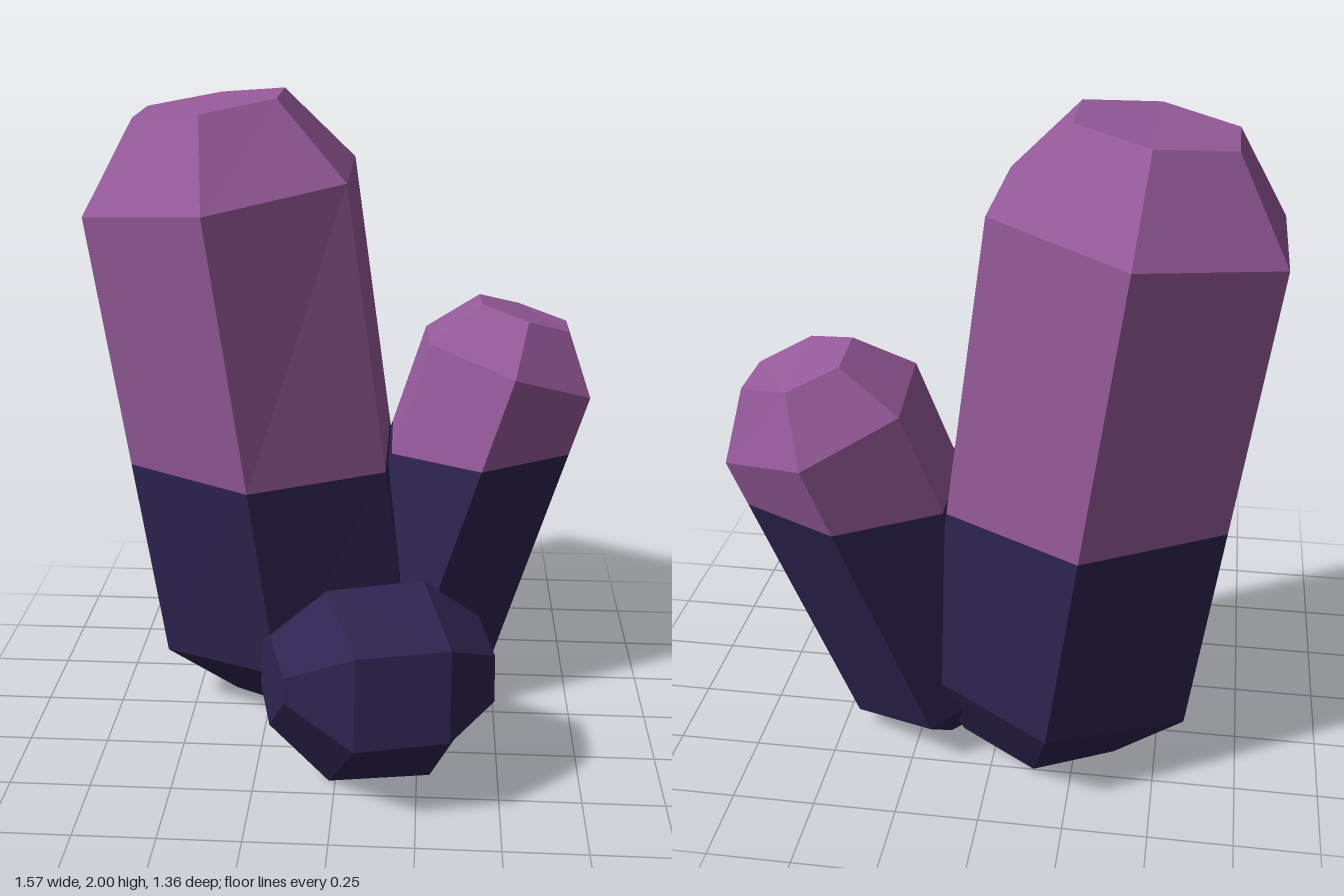
import * as THREE from 'three';

const crystalPink = new THREE.MeshStandardMaterial({ color: 0x965a9a });
crystalPink.name = 'crystalPink';
const crystalNavy = new THREE.MeshStandardMaterial({ color: 0x2f2450 });
crystalNavy.name = 'crystalNavy';
const SPLIT = 0.865; // height where the colour changes

// Faceted skin through six-sided rings, each listed clockwise seen from the tip
function loft(rings, capStart, capEnd) {
  const pos = [];
  const tri = (...pts) => pts.forEach((p) => pos.push(...p));
  for (let r = 0; r < rings.length - 1; r++) {
    const a = rings[r], b = rings[r + 1];
    for (let i = 0; i < 6; i++) {
      const j = (i + 1) % 6;
      tri(a[j], a[i], b[i]);
      tri(a[j], b[i], b[j]);
    }
  }
  const s = rings[0], e = rings[rings.length - 1];
  for (let i = 1; i < 5; i++) {
    if (capStart) tri(s[0], s[i], s[i + 1]);
    if (capEnd) tri(e[0], e[i + 1], e[i]);
  }
  const g = new THREE.BufferGeometry();
  g.setAttribute('position', new THREE.Float32BufferAttribute(pos, 3));
  g.computeVertexNormals(); // unshared corners give flat facets
  return g;
}

function addMesh(group, name, geometry, material) {
  const m = new THREE.Mesh(geometry, material);
  m.name = name;
  group.add(m);
}

// Level ring where the prism edges cross the colour split
function waist(low, high) {
  return low.map((a, i) => {
    const b = high[i], t = (SPLIT - a[1]) / (b[1] - a[1]);
    return a.map((v, k) => v + (b[k] - v) * t);
  });
}

// Ring shrunk about its centre, moved, and kept above the ground
function foot(ring, scale, centre) {
  const mid = [0, 1, 2].map((k) => ring.reduce((s, p) => s + p[k], 0) / 6);
  return ring.map((p) => {
    const q = p.map((v, k) => centre[k] + (v - mid[k]) * scale);
    return [q[0], Math.max(0, q[1]), q[2]];
  });
}

function twoToneCrystal(name, base, low, high, tip) {
  const group = new THREE.Group();
  group.name = name;
  const mid = waist(low, high);
  addMesh(group, name + 'Base', loft([base, low, mid], true, false), crystalNavy);
  addMesh(group, name + 'Tip', loft([mid, high, tip], false, true), crystalPink);
  return group;
}

export function createModel() {
  const model = new THREE.Group();
  model.name = 'crystalCluster';

  // Tall crystal, leaning to -x
  const tallLow = [[-0.19, 0.25, -0.68], [0.21, 0.29, -0.455], [0.21, 0.29, 0.03],
    [-0.2, 0.24, 0.215], [-0.585, 0.2, 0], [-0.585, 0.2, -0.455]];
  const tallHigh = [[-0.39, 1.715, -0.68], [0.01, 1.77, -0.455], [0.01, 1.77, 0.005],
    [-0.39, 1.715, 0.24], [-0.785, 1.66, 0.005], [-0.785, 1.66, -0.455]];
  const tallTip = [[-0.42, 1.97, -0.47], [-0.205, 2, -0.35], [-0.205, 2, -0.1],
    [-0.42, 1.97, 0.03], [-0.64, 1.94, -0.1], [-0.64, 1.94, -0.35]];
  model.add(twoToneCrystal('tallCrystal', foot(tallLow, 0.6, [-0.135, 0.01, -0.24]),
    tallLow, tallHigh, tallTip));

  // Middle crystal, leaning to +x and back
  const midHigh = [[0.5, 1.08, -0.66], [0.765, 1.01, -0.505], [0.78, 1.05, -0.195],
    [0.53, 1.155, -0.04], [0.265, 1.22, -0.195], [0.25, 1.19, -0.505]];
  const midLow = midHigh.map(([x, y, z]) => [x - 0.315, y - 0.95, z + 0.145]);
  const midTip = [[0.56, 1.265, -0.545], [0.715, 1.23, -0.46], [0.71, 1.24, -0.295],
    [0.575, 1.295, -0.21], [0.43, 1.33, -0.285], [0.425, 1.315, -0.465]];
  model.add(twoToneCrystal('middleCrystal', foot(midLow, 0.53, [0.16, 0.01, -0.185]),
    midLow, midHigh, midTip));

  // Short crystal lying across the front, rings from -x to +x
  const shortRings = [
    [[-0.195, 0.48, 0.41], [-0.235, 0.4, 0.28], [-0.24, 0.26, 0.3],
      [-0.2, 0.2, 0.44], [-0.14, 0.36, 0.58], [-0.14, 0.44, 0.575]],
    [[-0.03, 0.61, 0.345], [-0.12, 0.42, 0.12], [-0.1, 0.08, 0.16],
      [-0.02, 0, 0.43], [0.07, 0.265, 0.68], [0.07, 0.54, 0.63]],
    [[0.26, 0.62, 0.28], [0.2, 0.44, 0.08], [0.2, 0.04, 0.13],
      [0.29, 0, 0.38], [0.345, 0.27, 0.62], [0.345, 0.54, 0.565]],
    [[0.43, 0.5, 0.27], [0.39, 0.355, 0.13], [0.39, 0.21, 0.15],
      [0.43, 0.2, 0.31], [0.478, 0.31, 0.447], [0.475, 0.455, 0.43]],
  ];
  addMesh(model, 'shortCrystal', loft(shortRings, true, true), crystalNavy);

  return model;
}
